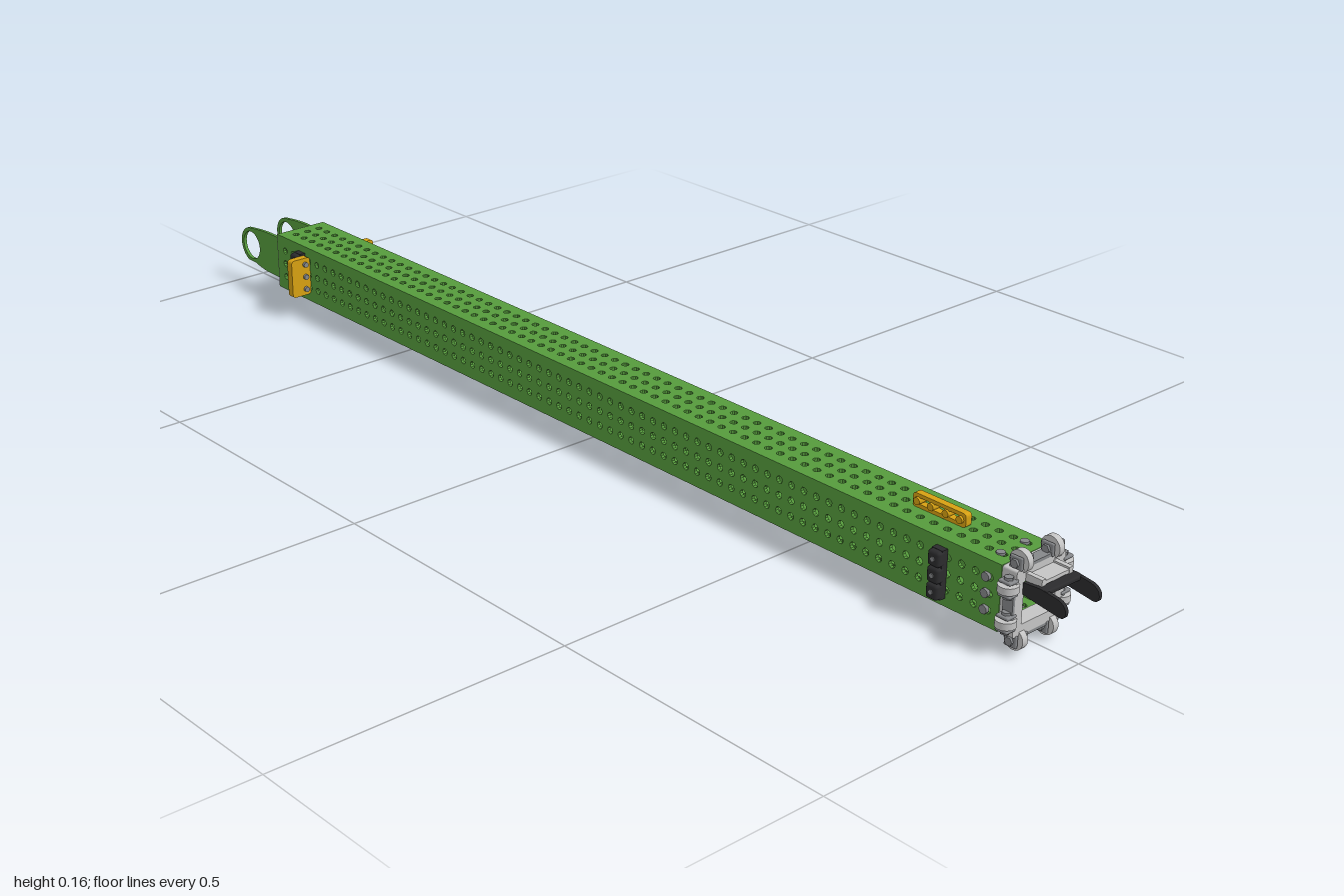
import * as THREE from 'three';
import { RoundedBoxGeometry } from 'three/addons/geometries/RoundedBoxGeometry.js';

const CY = 0.0775; // height of the beam axis
const HALF = 0.052, WALL = 0.006, PITCH = 0.0256;
const Z0 = -0.862, Z1 = 0.897;

function mat(name, color) {
  const m = new THREE.MeshStandardMaterial({ color });
  m.name = name;
  return m;
}

function rectShape(x0, y0, x1, y1, r = 0) {
  const s = new THREE.Shape();
  s.moveTo(x0 + r, y0);
  s.lineTo(x1 - r, y0);
  if (r) s.quadraticCurveTo(x1, y0, x1, y0 + r);
  s.lineTo(x1, y1 - r);
  if (r) s.quadraticCurveTo(x1, y1, x1 - r, y1);
  s.lineTo(x0 + r, y1);
  if (r) s.quadraticCurveTo(x0, y1, x0, y1 - r);
  s.lineTo(x0, y0 + r);
  if (r) s.quadraticCurveTo(x0, y0, x0 + r, y0);
  return s;
}

const extrude = (s, depth, seg = 5) =>
  new THREE.ExtrudeGeometry(s, { depth, bevelEnabled: false, curveSegments: seg });

// Long plate with three columns of round holes, outer face at y = HALF
function perforatedWall(half) {
  const s = rectShape(-half, Z0, half, Z1);
  for (let i = 0; i < 68; i++) {
    for (const x of [-PITCH, 0, PITCH]) {
      const hole = new THREE.Path();
      hole.absarc(x, -0.838 + i * PITCH, 0.0062, 0, Math.PI * 2, true);
      s.holes.push(hole);
    }
  }
  return extrude(s, WALL).rotateX(Math.PI / 2).translate(0, HALF, 0);
}

export function createModel() {
  const model = new THREE.Group();
  model.name = 'perforatedBoom';
  const green = mat('green', 0x559a3c);
  const yellow = mat('yellow', 0xd6a012);
  const light = mat('lightGray', 0xc4c4c4);
  const gray = mat('steelGray', 0x85878a);
  const black = mat('black', 0x2b2b2d);

  const add = (name, geo, m, x = 0, y = 0, z = 0, parent = model) => {
    const mesh = new THREE.Mesh(geo, m);
    mesh.name = name;
    mesh.position.set(x, y, z);
    parent.add(mesh);
    return mesh;
  };
  const box = (w, h, d) => new THREE.BoxGeometry(w, h, d);
  const rbox = (w, h, d, r) => new RoundedBoxGeometry(w, h, d, 2, r);
  const cylX = (r, l, n = 20) => new THREE.CylinderGeometry(r, r, l, n).rotateZ(Math.PI / 2);
  const cylY = (r, l, n = 16) => new THREE.CylinderGeometry(r, r, l, n);
  const cylZ = (r, l, n = 14) => new THREE.CylinderGeometry(r, r, l, n).rotateX(Math.PI / 2);

  // Square beam: four perforated walls around the axis
  const wide = perforatedWall(HALF), narrow = perforatedWall(HALF - WALL);
  for (let k = 0; k < 4; k++) {
    const wall = add('beamWall', k % 2 ? narrow : wide, green, 0, CY, 0);
    wall.rotation.z = k * Math.PI / 2;
  }

  // Thin rim at the rear end
  const rim = rectShape(-0.051, -0.051, 0.051, 0.051);
  rim.holes.push(rectShape(-0.045, -0.045, 0.045, 0.045));
  add('rearRim', extrude(rim, 0.003), light, 0, CY, Z0 - 0.003);

  // Rear fork: two lugs with a large eye
  const lug = new THREE.Shape();
  lug.moveTo(0.8, -0.04);
  lug.lineTo(0.9, -0.04);
  lug.quadraticCurveTo(0.93, -0.04, 0.955, -0.0325);
  lug.absarc(0.9655, 0, 0.0345, -1.25, 1.25, false);
  lug.quadraticCurveTo(0.93, 0.04, 0.9, 0.04);
  lug.lineTo(0.8, 0.04);
  const eye = new THREE.Path();
  eye.absarc(0.9655, 0, 0.027, 0, Math.PI * 2, true);
  lug.holes.push(eye);
  const lugGeo = extrude(lug, 0.006, 24).rotateY(Math.PI / 2).translate(-0.003, 0, 0);
  for (const s of [-1, 1]) {
    add('forkLug', lugGeo, green, s * 0.0405, CY, 0);
    add('forkBridge', box(0.078, 0.004, 0.065), green, 0, CY + s * 0.042, -0.839);
  }

  // Front collar with a square window
  const collar = rectShape(-0.052, -0.052, 0.052, 0.052, 0.004);
  collar.holes.push(rectShape(-0.035, -0.035, 0.035, 0.032, 0.002));
  add('frontCollar', extrude(collar, 0.026), light, 0, CY, 0.898);

  // Roller pairs on all four sides of the collar
  for (let k = 0; k < 4; k++) {
    const side = new THREE.Group();
    side.name = 'rollerSide';
    side.position.set(0, CY, 0.915);
    side.rotation.z = k * Math.PI / 2;
    const upright = k % 2 === 0;
    for (const s of [-1, 1]) {
      const x = s * (upright ? 0.033 : 0.027), y = upright ? 0.0605 : 0.058;
      add('roller', cylX(upright ? 0.017 : 0.0155, 0.011, 24), light, x, y, 0, side);
      add('rollerAxle', cylX(0.004, 0.034, 12), gray, x, y, 0, side);
      for (const t of [-1, 1]) {
        add('rollerBracket', rbox(0.005, 0.02, 0.022, 0.002), gray, x + t * 0.0105, y, 0, side);
        add('axleNut', cylX(0.007, 0.005, 6), gray, x + t * 0.0145, y, 0, side);
      }
    }
    add('collarPad', box(0.05, 0.005, 0.018), gray, 0, 0.054, 0, side);
    model.add(side);
  }

  // Front latch: black cross bar with two forward hooks
  const hook = new THREE.Shape();
  hook.moveTo(-0.925, 0.014);
  hook.lineTo(-0.955, 0.009);
  hook.lineTo(-0.99, 0.004);
  hook.quadraticCurveTo(-1, 0.004, -1, 0.014);
  hook.quadraticCurveTo(-1, 0.026, -0.985, 0.03);
  hook.lineTo(-0.955, 0.034);
  hook.lineTo(-0.925, 0.032);
  const hookGeo = extrude(hook, 0.006).rotateY(Math.PI / 2).translate(-0.003, 0, 0);
  for (const s of [-1, 1]) {
    add('latchHook', hookGeo, black, s * 0.036, CY, 0);
    add('latchArm', box(0.008, 0.012, 0.035), light, s * 0.029, CY + 0.038, 0.935);
  }
  add('latchBar', rbox(0.078, 0.008, 0.022, 0.003), black, 0, CY + 0.03, 0.955);
  add('latchPlate', box(0.06, 0.006, 0.03), light, 0, CY + 0.038, 0.937);

  for (const s of [-1, 1]) {
    // Black segmented blocks near both ends of the sides
    for (const z of [0.79, -0.783]) {
      add('blockBase', box(0.012, 0.078, 0.02), black, s * 0.057, CY, z);
      for (const y of [-0.026, 0, 0.026]) {
        add('blockSegment', rbox(0.016, 0.025, 0.022, 0.005), black, s * 0.064, CY + y, z);
        add('blockPin', cylX(0.004, 0.004, 10), gray, s * 0.0715, CY + y, z);
      }
    }
    // Yellow side stops at the rear, with bolts
    add('sideStop', extrude(rectShape(-0.02, -0.036, 0.02, 0.036, 0.007), 0.014), yellow,
      s * 0.072, CY, -0.772);
    for (const y of [-0.024, 0, 0.024])
      add('stopBolt', cylZ(0.005, 0.006), gray, s * 0.063, CY + y, -0.756);
    // Bolt heads on the beam behind the collar
    for (const y of [-PITCH, 0, PITCH]) {
      add('sideBolt', cylX(0.007, 0.006, 12), gray, s * 0.0535, CY + y, 0.872);
    }
    for (const x of [-PITCH, PITCH])
      add('topBolt', cylY(0.007, 0.004, 12), gray, x, CY + s * 0.0525, 0.872);
  }

  // Yellow handle on top: rounded bar with slots and clamps
  const bar = rectShape(-0.05, 0, 0.05, 0.022, 0.006);
  for (const z of [-0.028, 0, 0.028])
    bar.holes.push(rectShape(z - 0.01, 0.006, z + 0.01, 0.016, 0.003));
  const barGeo = extrude(bar, 0.012).rotateY(Math.PI / 2).translate(-0.006, 0, 0);
  add('topHandle', barGeo, yellow, 0, CY + HALF, 0.741);
  for (const z of [-0.04, -0.014, 0.014, 0.04])
    add('handleClamp', cylX(0.006, 0.02, 12), yellow, 0, CY + HALF + 0.011, 0.741 + z);

  return model;
}
